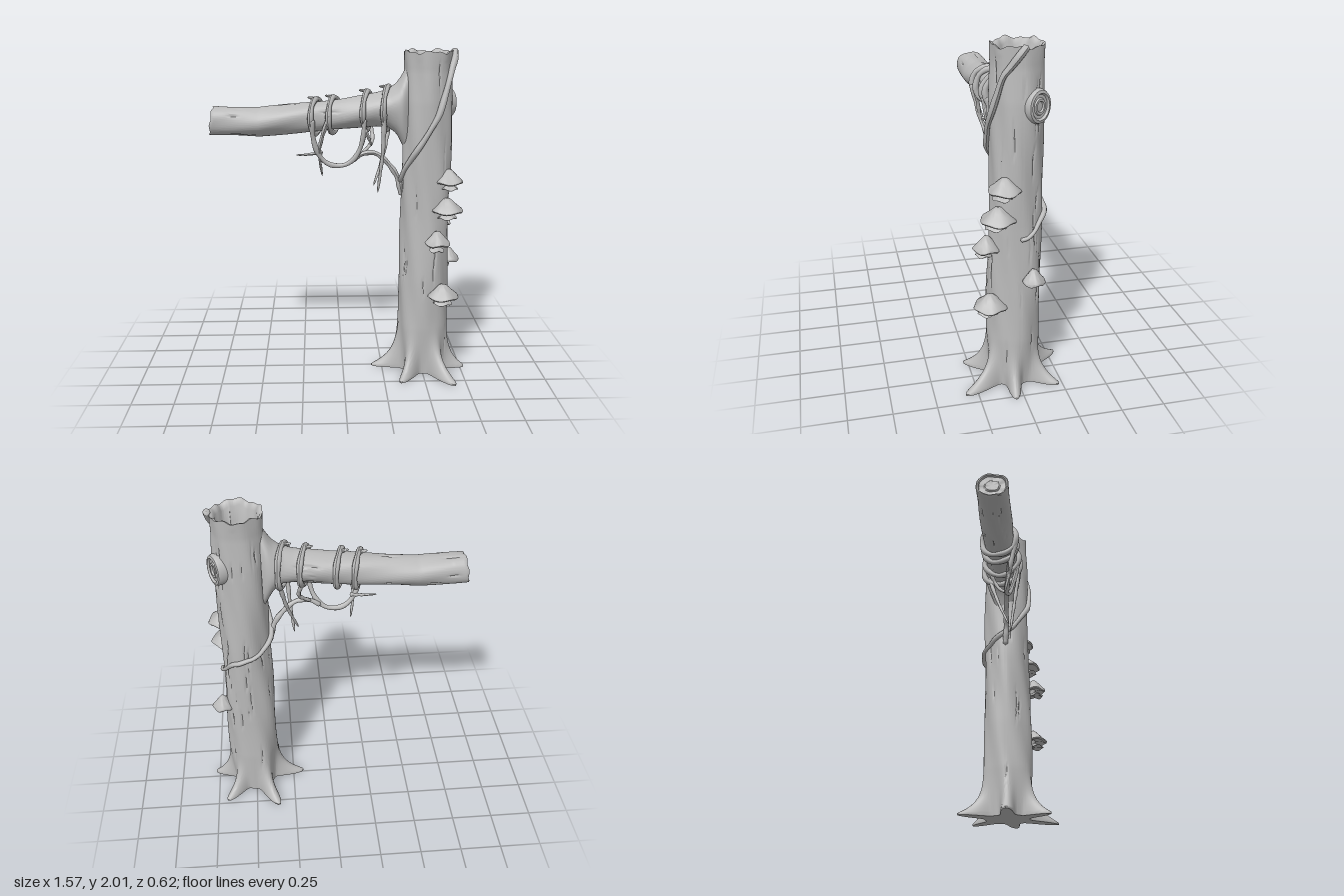
import * as THREE from 'three';
import { toCreasedNormals } from 'three/addons/utils/BufferGeometryUtils.js';

const TAU = Math.PI * 2;
const bark = new THREE.MeshStandardMaterial({ color: 0xbababa });
bark.name = 'bark grey';

let seed = 7;
const rand = () => (seed = (seed * 16807) % 2147483647) / 2147483647;
const wrap = a => a - TAU * Math.round(a / TAU);

// linear lookup in rows of [key, value, ...]
function sample(table, t) {
  let i = 0;
  while (i < table.length - 2 && t > table[i + 1][0]) i++;
  const a = table[i], b = table[i + 1];
  const k = THREE.MathUtils.clamp((t - a[0]) / (b[0] - a[0]), 0, 1);
  return a.map((v, n) => v + (b[n] - v) * k);
}

// skin over rows of ring points
function loft(rows, cols, point) {
  const pos = [], index = [];
  for (let i = 0; i < rows; i++)
    for (let j = 0; j < cols; j++) pos.push(...point(i, j / cols * TAU));
  for (let i = 0; i < rows - 1; i++)
    for (let j = 0; j < cols; j++) {
      const a = i * cols + j, b = i * cols + (j + 1) % cols;
      index.push(a, a + cols, b, b, a + cols, b + cols);
    }
  const g = new THREE.BufferGeometry();
  g.setAttribute('position', new THREE.Float32BufferAttribute(pos, 3));
  g.setIndex(index);
  return toCreasedNormals(g, 0.8);
}

function add(parent, name, geometry) {
  const m = new THREE.Mesh(geometry, bark);
  m.name = name;
  parent.add(m);
  return m;
}

// long narrow grooves: angle, centre, half length, depth
const makeCracks = (n, lo, hi, len) => Array.from({ length: n }, () =>
  [rand() * TAU, lo + rand() * (hi - lo), len * (0.4 + rand()), 0.004 + rand() * 0.006]);
const trunkCracks = makeCracks(42, 0.2, 1.9, 0.11);
const branchCracks = makeCracks(22, -0.72, 0.2, 0.06);
function groove(cracks, a, t, width) {
  let d = 0;
  for (const [ca, ct, len, depth] of cracks) {
    const u = wrap(a - ca - Math.sin(t * 20 + ca) * 0.03) / width, v = (t - ct) / len;
    if (Math.abs(u) < 3 && Math.abs(v) < 1) d += depth * Math.exp(-u * u) * (1 - v * v);
  }
  return d;
}

// root direction and reach
const roots = [[-2.03, 0.2], [-0.9, 0.165], [0.14, 0.13], [1.06, 0.215], [2.1, 0.165], [Math.PI, 0.18]];
// height, radius
const trunkTable = [[0, 0.14], [0.3, 0.152], [0.6, 0.152], [1, 0.145], [1.7, 0.147], [1.88, 0.139], [2, 0.143]];

function trunkPoint(a, y, offset = 0, scale = 1) {
  let r = sample(trunkTable, y)[1] + 0.004 * Math.sin(3 * a + y * 5) + 0.003 * Math.sin(7 * a - y * 9);
  const fall = Math.exp(-Math.max(0, y - 0.012) / 0.085);
  for (const [ra, reach] of roots) {
    const d = wrap(a - ra) / (0.19 + y * 0.35);
    r += reach * fall * Math.exp(-d * d);
  }
  r = (r - groove(trunkCracks, a, y, 0.035) + offset) * scale;
  return [0.504 + r * Math.cos(a), y, 0.01 - 0.007 * y + r * Math.sin(a)];
}

function trunkGeometry() {
  // underside, bark wall, broken rim, hollow wall and its ringed floor
  const rows = [[0, 0]];
  for (let i = 0; i <= 12; i++) rows.push([0.15 * (i / 12) ** 1.5, 1]);
  for (let i = 1; i <= 100; i++) rows.push([0.15 + 1.84 * i / 100, 1]);
  rows.push([1.985, 0.9], [1.96, 0.8], [1.87, 0.77], [1.85, 0.72], [1.848, 0.5], [1.858, 0.45], [1.855, 0.37], [1.84, 0.33], [1.838, 0]);
  return loft(rows.length, 192, (i, a) => {
    const [y, s] = rows[i];
    const p = trunkPoint(a, y, 0, s);
    if (y > 1.95) p[1] += 0.007 * Math.sin(5 * a) + 0.005 * Math.sin(11 * a + 1) - 0.002;
    return p;
  });
}

// x, bottom, top, half depth
const branchTable = [[-0.79, 1.5, 1.672, 0.094], [-0.5, 1.49, 1.662, 0.094], [0, 1.532, 1.712, 0.095],
  [0.2, 1.55, 1.745, 0.1], [0.27, 1.545, 1.765, 0.108], [0.32, 1.505, 1.805, 0.12], [0.35, 1.45, 1.85, 0.122],
  [0.385, 1.37, 1.92, 0.09]];

function branchPoint(a, x, offset = 0, scale = 1) {
  const [, lo, hi, rz] = sample(branchTable, x);
  const k = 0.003 * Math.sin(4 * a + x * 11) + offset - groove(branchCracks, a, x, 0.06);
  return [x, (lo + hi) / 2 + ((hi - lo) / 2 + k) * scale * Math.cos(a), -0.012 + (rz + k) * scale * Math.sin(a)];
}

function branchGeometry() {
  const rows = [];
  for (let i = 0; i <= 80; i++) rows.push([0.385 - 1.16 * i / 80, 1]);
  rows.push([-0.781, 0.94], [-0.778, 0.86], [-0.765, 0.82], [-0.763, 0.5], [-0.77, 0.42], [-0.765, 0]);
  return loft(rows.length, 96, (i, a) => {
    const [x, s] = rows[i];
    const p = branchPoint(a, x, 0, s);
    // the sawn end leans slightly and has a ragged lip
    if (x < -0.7) p[0] += (0.012 * Math.cos(a) + 0.004 * Math.sin(6 * a)) * s;
    return p;
  });
}

// tube along points, narrowing from r0 to r1 and drawn to a tip at open ends
function vine(parent, name, points, r0, r1, closed = false) {
  const curve = new THREE.CatmullRomCurve3(points.map(p => new THREE.Vector3(...p)), closed);
  const n = points.length * 8, g = new THREE.TubeGeometry(curve, n, 1, 8, closed);
  const pos = g.attributes.position, v = new THREE.Vector3();
  for (let i = 0; i <= n; i++) {
    const c = curve.getPointAt(i / n);
    const tip = !closed && (i === 0 || i === n);
    const r = tip ? 0.0005 : (r0 + (r1 - r0) * i / n) * (1 + 0.12 * Math.sin(i / n * TAU * 5));
    for (let j = 0; j <= 8; j++) {
      const k = i * 9 + j;
      v.fromBufferAttribute(pos, k).sub(c).multiplyScalar(r).add(c);
      pos.setXYZ(k, v.x, v.y, v.z);
    }
  }
  g.computeVertexNormals();
  add(parent, name, g);
}

function capGeometry(R, h) {
  const profile = [[0, 0.1], [0.5, 0.04], [0.93, -0.08], [1, 0.02], [0.95, 0.15], [0.65, 0.45], [0.42, 0.72], [0.22, 0.94], [0, 1]];
  const g = new THREE.LatheGeometry(profile.map(([r, y]) => new THREE.Vector2(r * R, y * h)), 28);
  const p = g.attributes.position;
  for (let i = 0; i < p.count; i++) {
    const x = p.getX(i), z = p.getZ(i), a = Math.atan2(z, x), k = Math.hypot(x, z) / R;
    const s = 1 + 0.04 * Math.sin(5 * a) * k;
    p.setXYZ(i, x * s, p.getY(i) + 0.006 * k * Math.sin(4 * a + 1), z * s);
  }
  return toCreasedNormals(g, 0.9);
}

export function createModel() {
  const model = new THREE.Group();
  model.name = 'hollowTree';
  add(model, 'trunk', trunkGeometry());
  add(model, 'branch', branchGeometry());

  // sawn-off knot on the side of the trunk
  const knot = new THREE.Group();
  knot.name = 'knot';
  const rings = [[0.088, -0.05], [0.088, 0], [0.082, 0.016], [0.068, 0.02], [0.06, 0.008], [0.045, 0.008], [0.04, 0.016],
    [0.028, 0.016], [0.024, 0.006], [0, 0.008]];
  const disc = add(knot, 'knotRings', toCreasedNormals(
    new THREE.LatheGeometry(rings.map(p => new THREE.Vector2(...p)), 32), 0.6));
  disc.rotation.z = -Math.PI / 2;
  disc.scale.set(1.06, 1, 0.88);
  knot.position.set(0.635, 1.68, -0.083);
  knot.rotation.y = 0.5;
  model.add(knot);

  // shelf mushrooms: x, y, z, radius; the smallest has no lower cap
  const shelves = [[0.63, 1.225, 0.09, 0.09], [0.62, 1.055, 0.125, 0.097], [0.56, 0.865, 0.178, 0.075],
    [0.605, 0.525, 0.165, 0.094], [0.672, 0.69, -0.065, 0.064]];
  for (const [x, y, z, R] of shelves) {
    const g = new THREE.Group();
    g.name = 'mushroom';
    g.position.set(x, y, z);
    g.rotation.y = -Math.atan2(z, x - 0.505);
    add(g, 'mushroomCap', capGeometry(R, 0.078));
    add(g, 'mushroomStem', new THREE.CylinderGeometry(R * 0.3, R * 0.2, 0.05, 12)).position.set(-0.01, -0.015, 0);
    if (R > 0.07) add(g, 'lowerCap', capGeometry(R * 0.6, 0.03)).position.set(0.012, -0.038, 0.01);
    model.add(g);
  }

  // vine spiralling down the trunk: degrees, height
  const spiral = [[-4, 2], [42, 1.84], [72, 1.63], [112, 1.44], [165, 1.24], [230, 1.13], [300, 1.06], [340, 0.955], [362, 0.94]];
  const wound = Array.from({ length: 25 }, (_, i) => {
    const [d, y] = sample(spiral, -4 + 366 * i / 24);
    return trunkPoint(d / 360 * TAU, y, 0.012);
  });
  vine(model, 'trunkVine', wound, 0.02, 0.012);

  // vine loops around the branch, leaning in x from front to back, each with a thorn on top
  for (const x of [-0.16, -0.055, 0.145, 0.265]) {
    const loop = Array.from({ length: 14 }, (_, i) => {
      const a = i / 14 * TAU;
      return branchPoint(a, x - 0.033 * Math.sin(a), 0.016);
    });
    vine(model, 'branchVineLoop', loop, 0.017, 0.017, true);
    const thorn = [0, 1, 2].map(i => branchPoint(0, x - 0.025 * i, 0.016 + 0.008 * i));
    vine(model, 'thorn', thorn, 0.015, 0.004);
  }

  // vine sagging between two loops
  const sag = Array.from({ length: 11 }, (_, i) => {
    const t = i / 5 - 1;
    return [-0.03 + 0.155 * Math.sin(t * Math.PI / 2), 1.315 + 0.29 * Math.abs(t) ** 2.2, 0.03 + 0.07 * t * t];
  });
  vine(model, 'saggingVine', sag, 0.016, 0.014);

  // hanging vines and twigs: start z, end z, start radius, end radius, then x, y points
  const hang = (z0, z1, r0, r1, ...xy) => vine(model, 'hangingVine',
    xy.map(([x, y], i) => [x, y, z0 + (z1 - z0) * i / (xy.length - 1)]), r0, r1);
  hang(0.1, 0.02, 0.015, 0.006, [-0.08, 1.64], [-0.14, 1.42], [-0.125, 1.25]);
  hang(0.04, 0.05, 0.012, 0.004, [-0.12, 1.4], [-0.2, 1.388], [-0.28, 1.385]);
  hang(0.03, 0, 0.013, 0.018, [0.05, 1.34], [0.12, 1.385], [0.2, 1.385], [0.32, 1.26], [0.36, 1.12]);
  hang(0.1, 0.04, 0.016, 0.007, [0.24, 1.65], [0.235, 1.4], [0.21, 1.15]);
  hang(-0.11, 0.03, 0.015, 0.006, [0.295, 1.6], [0.25, 1.38], [0.185, 1.19]);
  hang(-0.1, 0.02, 0.013, 0.01, [0.16, 1.58], [0.18, 1.46], [0.11, 1.38]);
  hang(0.08, 0.07, 0.014, 0.006, [0.12, 1.56], [0.17, 1.44]);
  return model;
}
